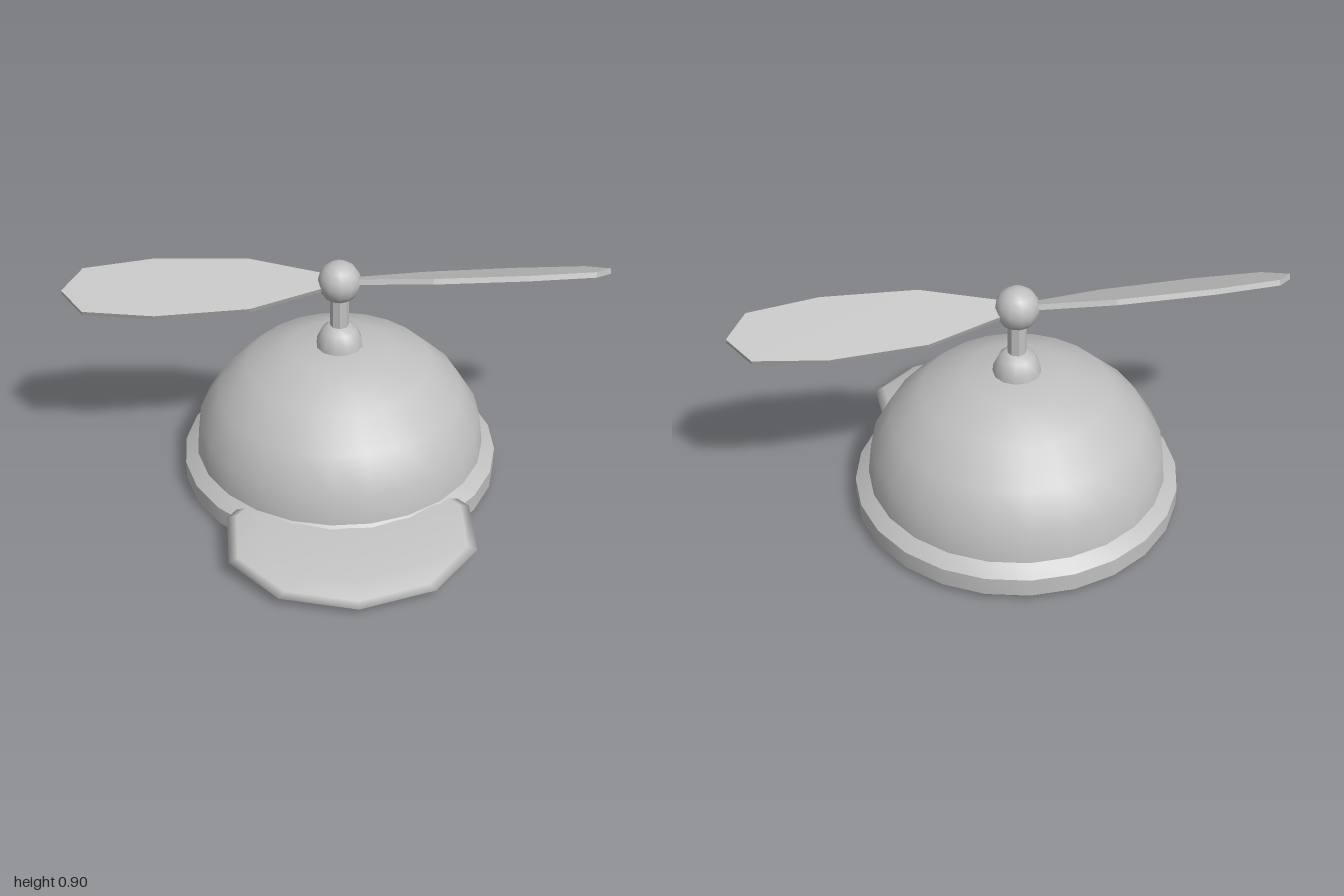
import * as THREE from 'three';
import { toCreasedNormals } from 'three/addons/utils/BufferGeometryUtils.js';

const HAT_Z = -0.15;

export function createModel() {
  const model = new THREE.Group();
  model.name = 'propellerHat';
  const grey = new THREE.MeshStandardMaterial({ color: 0xc0c0c0 });
  grey.name = 'grey';

  const add = (name, geometry, x = 0, y = 0, z = HAT_Z) => {
    const mesh = new THREE.Mesh(geometry, grey);
    mesh.name = name;
    mesh.position.set(x, y, z);
    model.add(mesh);
    return mesh;
  };

  // Turned part from [radius, height] pairs, bottom to top
  const turned = (points, sides, crease) => {
    const g = new THREE.LatheGeometry(points.map(([r, y]) => new THREE.Vector2(r, y)), sides);
    g.rotateY(Math.PI / sides);
    return toCreasedNormals(g, crease);
  };

  // Cap: closed base, band and dome
  add('band', turned([[0, 0], [0.575, 0], [0.6, 0.025], [0.6, 0.095], [0.55, 0.13]], 24, 0.5));
  add('dome', turned([
    [0.55, 0.13], [0.535, 0.25], [0.463, 0.37], [0.345, 0.482], [0.185, 0.545], [0, 0.56],
  ], 24, 0.7));

  // Propeller mount
  add('mount', turned([[0.088, 0.545], [0.084, 0.58], [0.065, 0.62], [0.038, 0.638], [0, 0.64]], 12, 0.9));
  add('stem', toCreasedNormals(new THREE.CylinderGeometry(0.035, 0.035, 0.16, 8), 0.5), 0, 0.7);
  add('hub', new THREE.SphereGeometry(0.08, 12, 8), 0, 0.82);

  // Brim: flattened ten-sided ellipsoid sloping down to the front
  const brimShape = new THREE.SphereGeometry(1, 10, 8);
  brimShape.rotateY(Math.PI / 2);
  brimShape.scale(0.466, 0.037, 0.345);
  const brim = add('brim', brimShape, 0, 0.087, 0.395);
  brim.rotation.x = 0.168;

  // Pitched propeller blades, mirrored outline about the long axis
  const half = [[0.03, 0.025], [0.07, 0.038], [0.33, 0.115], [0.67, 0.13], [0.925, 0.098]];
  const outline = [
    ...half.map(([x, w]) => new THREE.Vector2(x, -w)),
    new THREE.Vector2(1, 0),
    ...half.map(([x, w]) => new THREE.Vector2(x, w)).reverse(),
  ];
  const blade = new THREE.ExtrudeGeometry(new THREE.Shape(outline), { depth: 0.02, bevelEnabled: false });
  blade.translate(0, 0, -0.01);
  blade.rotateX(Math.PI / 2 - 0.4);
  ['leftBlade', 'rightBlade'].forEach((name, i) => {
    add(name, blade, 0, 0.82).rotation.y = i * Math.PI;
  });

  return model;
}
